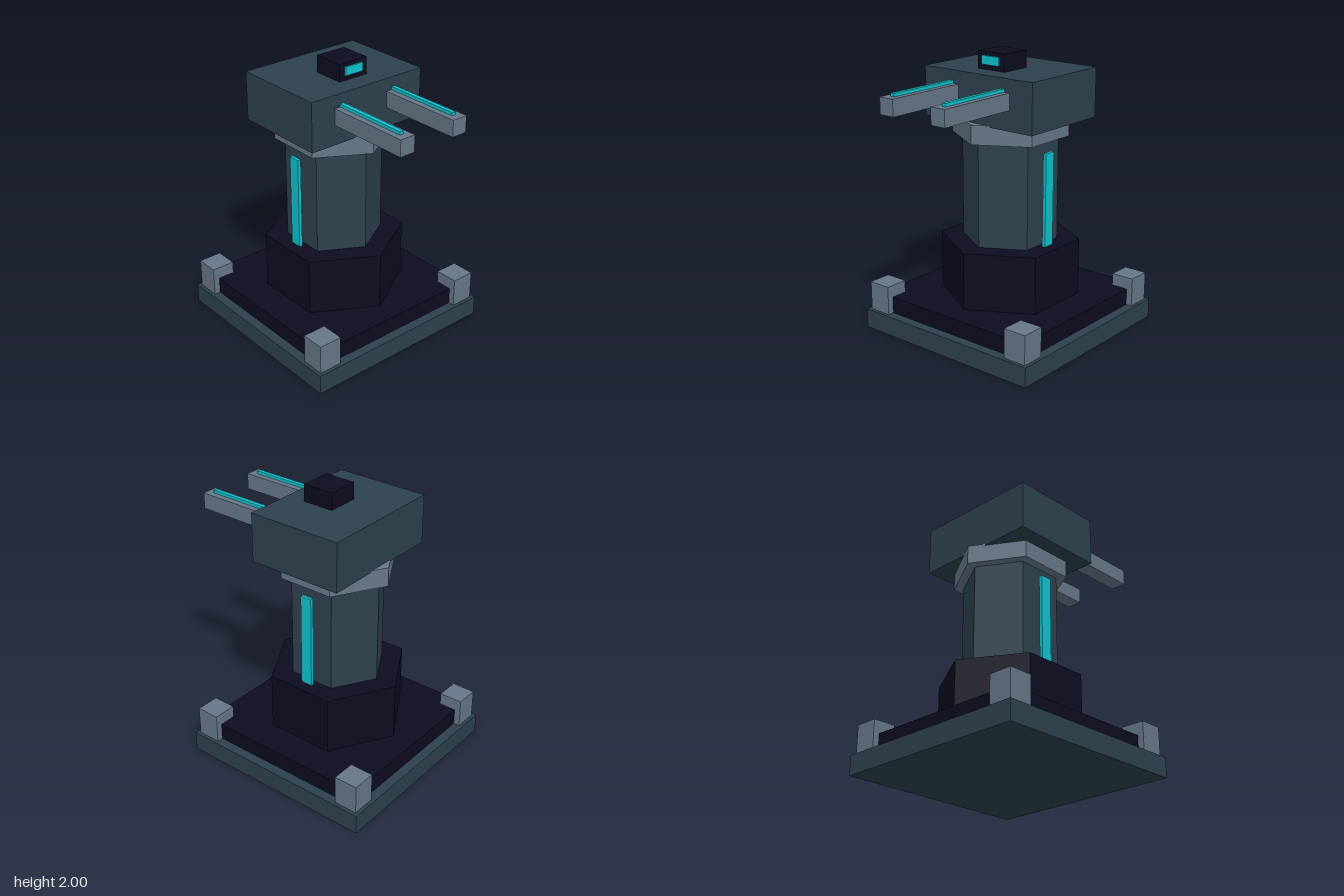
import * as THREE from 'three';

export function createModel() {
  const mat = (name, color) => {
    const m = new THREE.MeshStandardMaterial({ color, flatShading: true });
    m.name = name;
    return m;
  };
  const slate = mat('slate', 0x2d414e);
  const steel = mat('steel', 0x667788);
  const navy = mat('navy', 0x0c0c20);
  const cyan = mat('cyan', 0x10c2ce);

  const model = new THREE.Group();
  model.name = 'turret';
  const cz = -0.115; // axis of the tower

  const add = (name, geometry, material, x, y, z) => {
    const mesh = new THREE.Mesh(geometry, material);
    mesh.name = name;
    mesh.position.set(x, y, z);
    model.add(mesh);
  };
  // Box given by its extents
  const box = (name, material, x0, x1, y0, y1, z0, z1) =>
    add(name, new THREE.BoxGeometry(x1 - x0, y1 - y0, z1 - z0), material,
      (x0 + x1) / 2, (y0 + y1) / 2, (z0 + z1) / 2);
  // Hexagonal prism with a corner facing front
  const hex = (name, material, r, y0, y1) =>
    add(name, new THREE.CylinderGeometry(r, r, y1 - y0, 6), material, 0, (y0 + y1) / 2, cz);

  // Stepped base
  box('basePlate', slate, -0.725, 0.725, 0, 0.14, cz - 0.725, cz + 0.725);
  box('baseStep', navy, -0.655, 0.655, 0.14, 0.26, cz - 0.655, cz + 0.655);

  // Tower
  hex('pedestal', navy, 0.493, 0.26, 0.67);
  hex('column', slate, 0.335, 0.67, 1.412);
  hex('collar', steel, 0.406, 1.412, 1.546);

  // Head and sensor
  box('head', slate, -0.463, 0.463, 1.535, 1.88, cz - 0.346, cz + 0.346);
  box('sensor', navy, -0.115, 0.115, 1.88, 2, -0.145, 0.085);
  box('sensorEye', cyan, -0.073, 0.073, 1.915, 1.975, 0.08, 0.097);

  for (const s of [-1, 1]) {
    // Corner blocks
    for (const t of [-1, 1]) {
      add('cornerBlock', new THREE.BoxGeometry(0.17, 0.21, 0.17), steel, s * 0.615, 0.243, cz + t * 0.615);
    }
    // Side light strip, standing just clear of the column
    add('sideLight', new THREE.BoxGeometry(0.024, 0.667, 0.085), cyan, s * 0.335, 1.0, cz);
    // Barrel with light on top
    add('barrel', new THREE.BoxGeometry(0.115, 0.115, 0.64), steel, s * 0.22, 1.732, 0.52);
    add('barrelLight', new THREE.BoxGeometry(0.03, 0.03, 0.58), cyan, s * 0.22, 1.796, 0.495);
  }
  return model;
}
